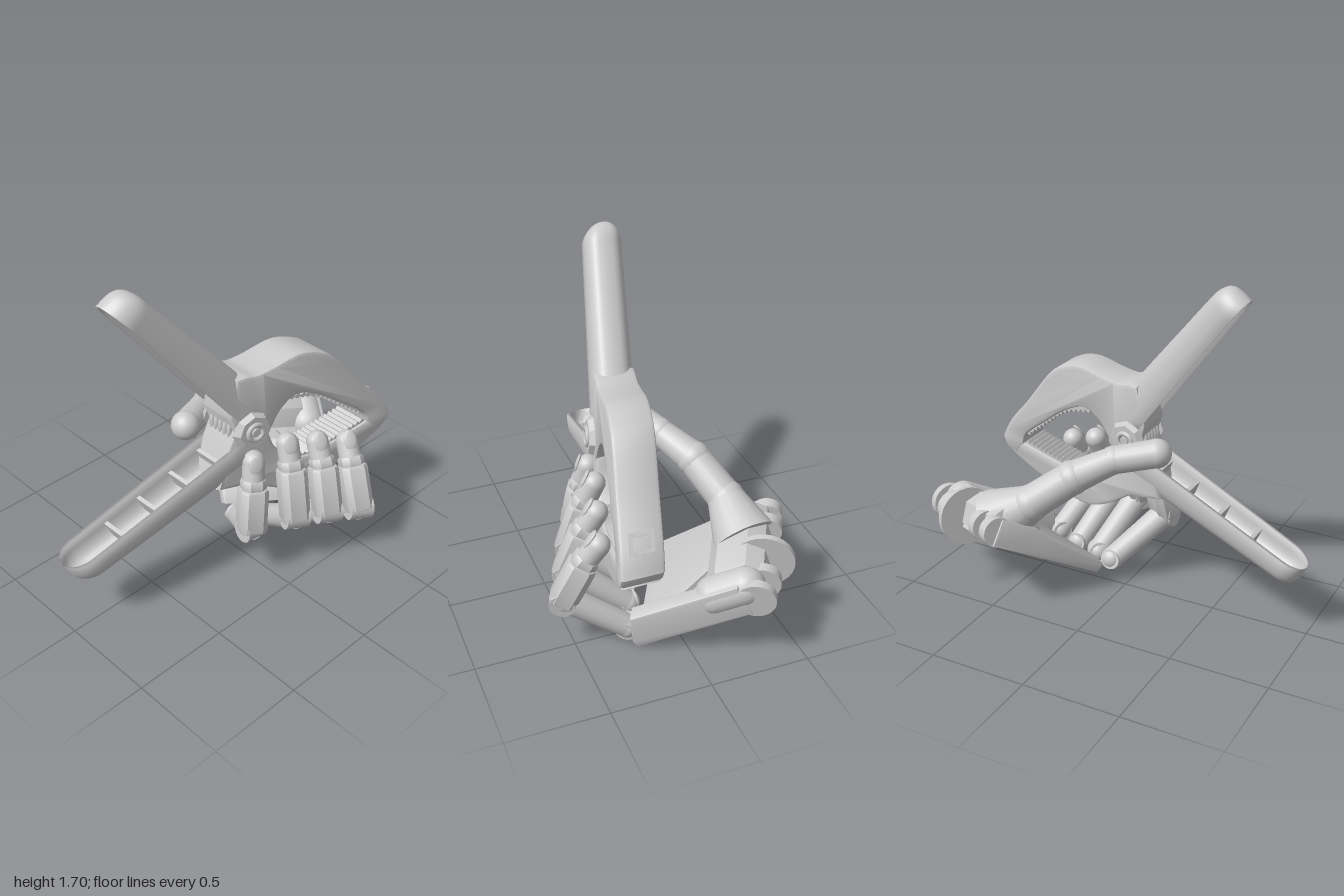
import * as THREE from 'three';
import { mergeGeometries, toCreasedNormals } from 'three/addons/utils/BufferGeometryUtils.js';

const grey = new THREE.MeshStandardMaterial({ color: 0xcccccc });
const greyOpen = new THREE.MeshStandardMaterial({ color: 0xcccccc, side: THREE.DoubleSide });
const V3 = (a) => new THREE.Vector3(...a);
const V2 = (pts) => pts.map((p) => new THREE.Vector2(...p));

function add(parent, name, geo, mat = grey) {
  const m = new THREE.Mesh(geo, mat);
  m.name = name;
  parent.add(m);
  return m;
}

// The clamp is drawn in x/y and leaned into place by a shear of z
const lean = new THREE.Matrix4().set(1, 0, 0, 0, 0, 1, 0, 0, 0.19, -0.063, 1, 0.164, 0, 0, 0, 1);

// Axes of the hand: x across the palm, y out of the palm, z towards the fingers
const across = V3([0.87, -0.12, 0.48]).normalize();
const palmUp = V3([-0.51, -0.47, 0.72]).cross(across).normalize();
const along = across.clone().cross(palmUp);

function slab(shape, width, bevel = 0.02) {
  const g = new THREE.ExtrudeGeometry(shape, {
    depth: width - 2 * bevel, bevelSize: bevel, bevelThickness: bevel, bevelOffset: -bevel, bevelSegments: 2, curveSegments: 20,
  });
  return toCreasedNormals(g.translate(0, 0, bevel - width / 2), 0.6);
}

// Hollow handle: a U section lofted from a rounded tip to the root
function channel(tip, root, side) {
  const d = new THREE.Vector2(root[0] - tip[0], root[1] - tip[1]);
  const n = new THREE.Vector2(-d.y, d.x).normalize().multiplyScalar(side);
  const pos = [], idx = [], M = 14, N = 32, ring = 2 * (M + 1);
  for (let i = 0; i <= N; i++) {
    const t = (i / N) ** 1.6;
    const round = t < 0.11 ? Math.sqrt(1 - (1 - t / 0.11) ** 2) : 1;
    const w = (0.1 + 0.012 * t) * round, h = (0.14 + 0.05 * t) * Math.sqrt(round);
    for (let j = 0; j < ring; j++) {
      const inner = j > M;
      const a = (Math.PI * (inner ? ring - 1 - j : j)) / M;
      const k = inner ? 0.8 : 1, c = Math.cos(a);
      const y = h * k * Math.abs(Math.sin(a)) ** 0.7;
      pos.push(tip[0] + d.x * t + n.x * y, tip[1] + d.y * t + n.y * y, w * k * Math.sign(c) * Math.abs(c) ** 0.7);
    }
  }
  for (let i = 0; i < N; i++) {
    for (let j = 0; j < ring; j++) {
      const a = i * ring + j, b = i * ring + ((j + 1) % ring);
      idx.push(a, b, a + ring, b, b + ring, a + ring);
    }
  }
  const g = new THREE.BufferGeometry();
  g.setAttribute('position', new THREE.Float32BufferAttribute(pos, 3));
  g.setIndex(idx);
  g.computeVertexNormals();
  // Stiffening ribs inside the channel
  const ribs = [0.3, 0.5, 0.7, 0.88].map((t) => new THREE.BoxGeometry(0.02, 0.08, 0.15)
    .rotateZ(Math.atan2(d.y, d.x))
    .translate(tip[0] + d.x * t + n.x * 0.07, tip[1] + d.y * t + n.y * 0.07, 0));
  return [g.applyMatrix4(lean), mergeGeometries(ribs).applyMatrix4(lean)];
}

// A row of teeth along a curve
function teeth(points, count) {
  const curve = new THREE.SplineCurve(V2(points)), list = [];
  for (let i = 0; i < count; i++) {
    const p = curve.getPointAt(i / (count - 1)), t = curve.getTangentAt(i / (count - 1));
    list.push(new THREE.BoxGeometry(0.026, 0.026, 0.17)
      .rotateZ(Math.PI / 4 + Math.atan2(t.y, t.x)).translate(p.x, p.y, 0));
  }
  return mergeGeometries(list).applyMatrix4(lean);
}

function buildClamp() {
  const clamp = new THREE.Group();
  clamp.name = 'springClamp';
  const arms = [
    { name: 'upper', tip: [-0.655, 1.645], root: [-0.08, 0.9], side: 1, width: 0.215,
      outer: [[-0.02, 1.125], [0.04, 1.115], [0.13, 1.125], [0.28, 1.15], [0.4, 1.12], [0.5, 1.05], [0.66, 0.86], [0.8, 0.7], [0.86, 0.6]],
      start: [[-0.12, 0.92], [-0.075, 1.125]], end: [[0.84, 0.55], [0.77, 0.52], [0.71, 0.59]],
      inner: [[0.68, 0.66], [0.54, 0.77], [0.4, 0.87], [0.27, 0.92], [0.18, 0.88], [0.12, 0.8], [0.09, 0.74]],
      close: [[-0.06, 0.74]], bite: [[0.22, 0.915], [0.4, 0.87], [0.54, 0.77], [0.68, 0.66]] },
    { name: 'lower', tip: [-0.995, 0.39], root: [-0.08, 0.755], side: -1, width: 0.2,
      outer: [[-0.1, 0.51], [0.0, 0.49], [0.12, 0.41], [0.26, 0.35], [0.4, 0.36], [0.6, 0.42], [0.76, 0.49], [0.84, 0.54]],
      start: [[-0.14, 0.73], [-0.2, 0.53]], end: [[0.8, 0.575], [0.72, 0.6]],
      inner: [[0.68, 0.585], [0.5, 0.55], [0.34, 0.53], [0.22, 0.57], [0.14, 0.66], [0.1, 0.76], [0.05, 0.86]],
      close: [[-0.08, 0.86]], bite: [[0.24, 0.56], [0.34, 0.53], [0.5, 0.55], [0.69, 0.59]] },
  ];
  for (const a of arms) {
    const [shell, ribs] = channel(a.tip, a.root, a.side);
    add(clamp, a.name + 'Handle', shell, greyOpen);
    add(clamp, a.name + 'HandleRibs', ribs);
    const s = new THREE.Shape();
    s.moveTo(...a.start[0]);
    s.lineTo(...a.start[1]);
    s.splineThru(V2(a.outer));
    a.end.forEach((p) => s.lineTo(...p));
    s.splineThru(V2(a.inner));
    a.close.forEach((p) => s.lineTo(...p));
    add(clamp, a.name + 'Jaw', slab(s, a.width).applyMatrix4(lean));
    add(clamp, a.name + 'Teeth', teeth(a.bite, 17));
  }
  // Raised rectangular frame at the jaw end
  const frame = new THREE.Shape(V2([[-0.06, -0.05], [0.06, -0.05], [0.06, 0.05], [-0.06, 0.05]]));
  frame.holes.push(new THREE.Path(V2([[-0.04, -0.03], [-0.04, 0.03], [0.04, 0.03], [0.04, -0.03]])));
  add(clamp, 'jawEndFrame', new THREE.ExtrudeGeometry(frame, { depth: 0.02, bevelEnabled: false })
    .rotateY(Math.PI / 2).rotateZ(0.71).translate(0.77, 0.718, 0).applyMatrix4(lean));
  // Pivot: octagonal hubs, bolt rings and spring coils
  const at = (g) => g.translate(-0.01, 0.825, 0).applyMatrix4(lean);
  for (const s of [-1, 1]) {
    add(clamp, 'pivotHub', at(toCreasedNormals(new THREE.CylinderGeometry(0.085, 0.105, 0.035, 8).rotateX(s * Math.PI / 2).translate(0, 0, s * 0.118), 0.4)));
    add(clamp, 'boltRing', at(new THREE.TorusGeometry(0.042, 0.013, 8, 20).translate(0, 0, s * 0.136)));
    add(clamp, 'boltHead', at(new THREE.CylinderGeometry(0.024, 0.024, 0.03, 6).rotateX(Math.PI / 2).translate(0, 0, s * 0.13)));
  }
  for (let i = -2; i <= 2; i++) {
    add(clamp, 'springCoil', at(new THREE.TorusGeometry(0.1, 0.013, 8, 24).translate(0.01, 0, i * 0.03)));
  }
  return clamp;
}

// Puts a mesh, built along its own z, between two points
function span(mesh, a, b) {
  const z = b.clone().sub(a).normalize();
  const x = across.clone().addScaledVector(z, -across.dot(z)).normalize();
  mesh.quaternion.setFromRotationMatrix(new THREE.Matrix4().makeBasis(x, z.clone().cross(x), z));
  mesh.position.copy(a).lerp(b, 0.5);
  return mesh;
}

function block(parent, name, a, b, w, d) {
  const c = 0.03, x = w / 2, y = d / 2;
  const s = new THREE.Shape(V2([[x, y - c], [x - c, y], [c - x, y], [-x, y - c], [-x, c - y], [c - x, -y], [x - c, -y], [x, c - y]]));
  return span(add(parent, name, slab(s, a.distanceTo(b), 0.018)), a, b);
}

function rod(parent, name, a, b, r1, r2) {
  const g = new THREE.CylinderGeometry(r2, r1, a.distanceTo(b), 20).rotateX(Math.PI / 2);
  return span(add(parent, name, g), a, b);
}

function ball(parent, name, p, r) {
  add(parent, name, new THREE.SphereGeometry(r, 20, 14)).position.copy(p);
}

function buildFinger(name, pts) {
  const f = new THREE.Group();
  f.name = name;
  const [knuckle, bend, upper, tip] = pts.map(V3);
  const axle = (label, p, r, len) => rod(f, label, p.clone().addScaledVector(across, -len / 2), p.clone().addScaledVector(across, len / 2), r, r);
  axle('knuckle', knuckle, 0.055, 0.09);
  ball(f, 'knuckleCap', knuckle, 0.06);
  rod(f, 'baseSegment', knuckle, bend, 0.058, 0.068);
  axle('middleJoint', bend, 0.064, 0.125);
  block(f, 'middleSegment', bend.clone().lerp(upper, -0.08), upper, 0.142, 0.14);
  block(f, 'tipCollar', upper.clone().lerp(tip, -0.1), upper.clone().lerp(tip, 0.28), 0.122, 0.122);
  const pad = new THREE.CapsuleGeometry(0.057, upper.distanceTo(tip) - 0.08, 8, 20).rotateX(Math.PI / 2);
  const end = span(add(f, 'fingertip', pad), upper, tip);
  const nail = add(end, 'nail', new THREE.SphereGeometry(1, 16, 10));
  nail.scale.set(0.036, 0.012, 0.055);
  nail.position.set(0, -0.05, 0.045);
  return f;
}

function buildThumb() {
  const t = new THREE.Group();
  t.name = 'thumb';
  const [base, low, mid, joint, tip] = [[0.53, 0.42, -0.37], [0.35, 0.54, -0.35], [0.16, 0.685, -0.255], [-0.01, 0.77, -0.14], [-0.2, 0.81, -0.05]].map(V3);
  rod(t, 'thumbCollar', base, low, 0.16, 0.095);
  rod(t, 'thumbBaseSegment', low, mid, 0.09, 0.084);
  rod(t, 'thumbMiddleSegment', mid, joint, 0.084, 0.068);
  rod(t, 'thumbTipSegment', joint, tip, 0.07, 0.072);
  ball(t, 'thumbBaseJoint', low, 0.096);
  ball(t, 'thumbMiddleJoint', mid, 0.088);
  ball(t, 'thumbTipJoint', joint, 0.072);
  ball(t, 'thumbTip', tip, 0.074);
  return t;
}

function buildPalm() {
  const palm = new THREE.Group();
  palm.name = 'palm';
  palm.quaternion.setFromRotationMatrix(new THREE.Matrix4().makeBasis(across, palmUp, along));
  palm.position.set(0.52, 0.275, -0.16);
  // Profiles run wrist to fingers and are extruded across the hand
  const profile = (name, pts, width, x) => add(palm, name, slab(new THREE.Shape(V2(pts)), width, 0.012).rotateY(-Math.PI / 2).translate(x, 0, 0));
  profile('palmPlate', [[-0.33, -0.08], [0.32, -0.08], [0.34, -0.03], [0.28, 0], [-0.02, 0.03], [-0.12, 0.06], [-0.33, 0.06]], 0.62, -0.01);
  profile('sideRail', [[-0.26, -0.08], [0.37, -0.08], [0.375, -0.04], [0.31, 0.1], [-0.26, 0.1]], 0.09, 0.275);
  profile('wristBlock', [[-0.34, -0.06], [-0.15, -0.06], [-0.06, 0.05], [-0.14, 0.12], [-0.3, 0.12], [-0.36, 0.05]], 0.46, -0.03);
  const ridge = add(palm, 'palmRidge', new THREE.BoxGeometry(0.04, 0.04, 0.24));
  ridge.position.set(0.13, 0.03, 0.03);
  ridge.rotation.y = 0.7;
  // Wrist hinge discs
  for (const [x, y, z, r, w] of [[-0.28, -0.01, -0.325, 0.075, 0.06], [-0.17, -0.01, -0.325, 0.08, 0.055], [0.04, -0.02, -0.32, 0.15, 0.03],
    [0.18, -0.02, -0.32, 0.09, 0.05], [0.295, -0.01, -0.3, 0.095, 0.045]]) {
    const disc = new THREE.CylinderGeometry(r, r, w, 28).rotateZ(Math.PI / 2);
    add(palm, 'wristDisc', toCreasedNormals(disc, 0.6)).position.set(x, y, z);
  }
  // Rounded heel on the little finger side
  const heel = add(palm, 'palmHeel', new THREE.CapsuleGeometry(0.095, 0.16, 8, 20).rotateX(Math.PI / 2));
  heel.position.set(0.235, 0.03, -0.18);
  return palm;
}

export function createModel() {
  const model = new THREE.Group();
  model.name = 'handHoldingClamp';
  model.add(buildClamp());
  const hand = new THREE.Group();
  hand.name = 'mechanicalHand';
  const fingers = {
    indexFinger: [[0.09, 0.115, 0.025], [-0.085, 0.3, 0.3], [-0.045, 0.52, 0.27], [-0.01, 0.69, 0.235]],
    middleFinger: [[0.22, 0.085, 0.105], [0.13, 0.31, 0.4], [0.165, 0.56, 0.33], [0.19, 0.715, 0.265]],
    ringFinger: [[0.38, 0.068, 0.18], [0.3, 0.29, 0.47], [0.335, 0.52, 0.39], [0.36, 0.665, 0.31]],
    littleFinger: [[0.545, 0.065, 0.245], [0.465, 0.26, 0.54], [0.5, 0.47, 0.445], [0.535, 0.605, 0.36]],
  };
  for (const [name, pts] of Object.entries(fingers)) hand.add(buildFinger(name, pts));
  hand.add(buildThumb(), buildPalm());
  model.add(hand);
  return model;
}
